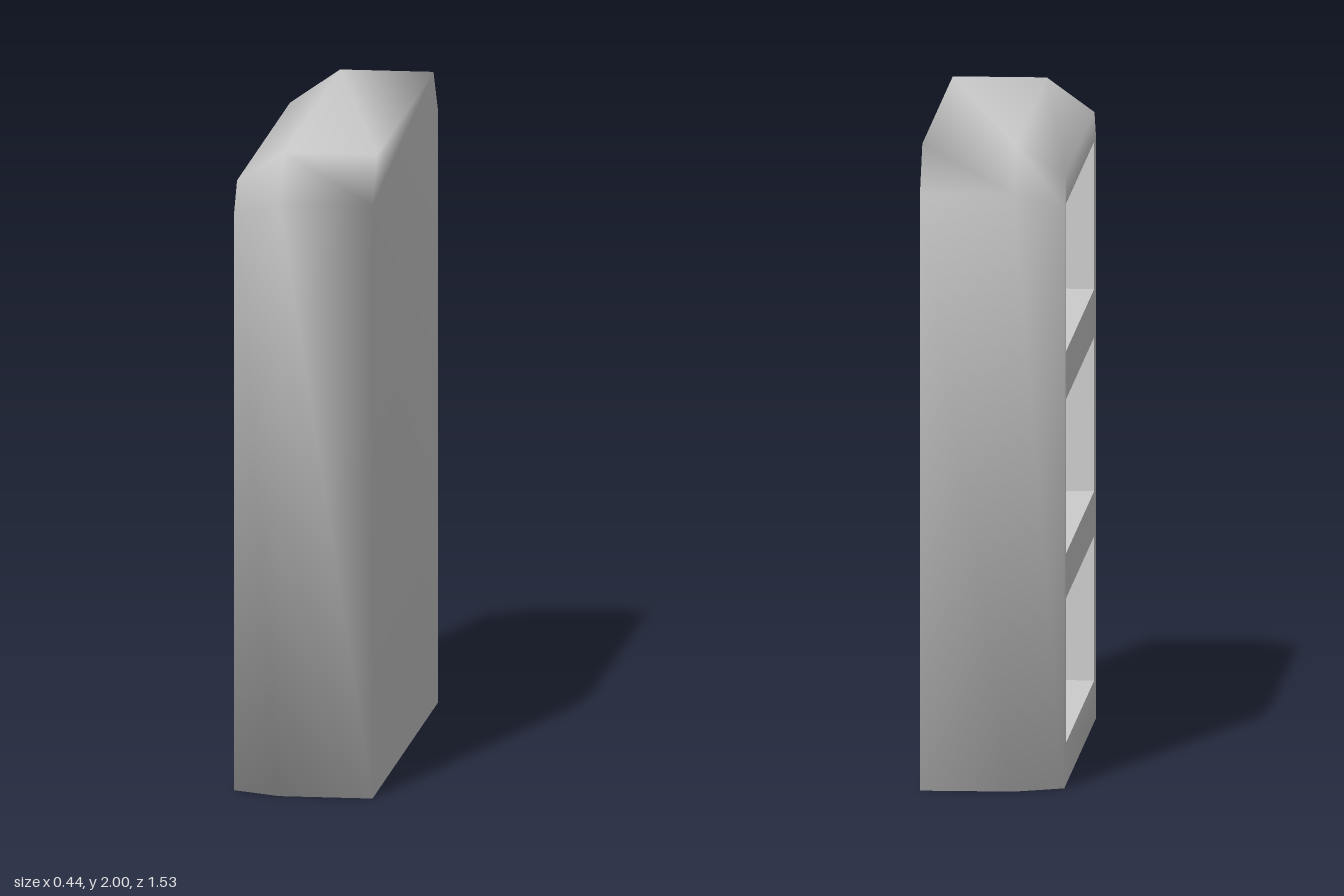
import * as THREE from 'three';

const material = new THREE.MeshStandardMaterial({ color: 0xcccccc });

// Cross-section with cut top corners, counter-clockwise as seen from +x; points are (-z, y)
function section(halfDepth, shoulder, topHalf, top) {
  return [
    [halfDepth, 0], [halfDepth, shoulder], [topHalf, top],
    [-topHalf, top], [-halfDepth, shoulder], [-halfDepth, 0],
  ].map(([u, y]) => new THREE.Vector2(u, y));
}

const X_BACK = 0.22, X_SHOULDER = -0.07, X_FACE = -0.22;
const NICHE_BACK = 0.085, NICHE_HALF = 0.61;
const NICHES = [[0.13, 0.58], [0.72, 1.2], [1.35, 1.81]]; // bottom and top heights

// Closed casing: three lofted sections, a plain back and a face pierced by the niches
function casingGeometry() {
  const outer = section(0.765, 1.86, 0.66, 2);
  const inner = section(0.69, 1.81, 0.62, 1.9);
  const holes = NICHES.map(([y0, y1]) => [
    [-NICHE_HALF, y0], [-NICHE_HALF, y1], [NICHE_HALF, y1], [NICHE_HALF, y0],
  ].map(([u, y]) => new THREE.Vector2(u, y)));

  const positions = [], index = [];
  const add = (points, x) => points.forEach(p => positions.push(x, p.y, -p.x));
  add(outer, X_BACK);
  add(outer, X_SHOULDER);
  add(inner, X_FACE);
  holes.forEach(h => add(h, X_FACE));

  // Sides
  const n = outer.length;
  for (let r = 0; r < 2; r++) {
    for (let i = 0; i < n; i++) {
      const j = (i + 1) % n;
      const a = r * n + i, b = r * n + j;
      index.push(b, a, a + n, b, a + n, b + n);
    }
  }
  // Back and pierced face
  THREE.ShapeUtils.triangulateShape(outer, []).forEach(t => index.push(...t));
  THREE.ShapeUtils.triangulateShape(inner, holes)
    .forEach(([a, b, c]) => index.push(2 * n + a, 2 * n + c, 2 * n + b));

  const geometry = new THREE.BufferGeometry();
  geometry.setAttribute('position', new THREE.Float32BufferAttribute(positions, 3));
  geometry.setIndex(index);
  geometry.computeVertexNormals(); // shared corners give the soft edges
  return geometry;
}

// Inward-facing box without its open side
function nicheGeometry(y0, y1) {
  const box = new THREE.BoxGeometry(NICHE_BACK - X_FACE, y1 - y0, 2 * NICHE_HALF);
  const index = Array.from(box.index.array);
  index.splice(6, 6); // remove the -x side
  box.setIndex(index.reverse());
  box.clearGroups();
  box.computeVertexNormals();
  box.translate((NICHE_BACK + X_FACE) / 2, (y0 + y1) / 2, 0);
  return box;
}

export function createModel() {
  const group = new THREE.Group();
  group.name = 'shelfCabinet';

  const casing = new THREE.Mesh(casingGeometry(), material);
  casing.name = 'casing';
  group.add(casing);

  NICHES.forEach(([y0, y1], i) => {
    const niche = new THREE.Mesh(nicheGeometry(y0, y1), material);
    niche.name = `shelfNiche${i + 1}`;
    group.add(niche);
  });
  return group;
}
